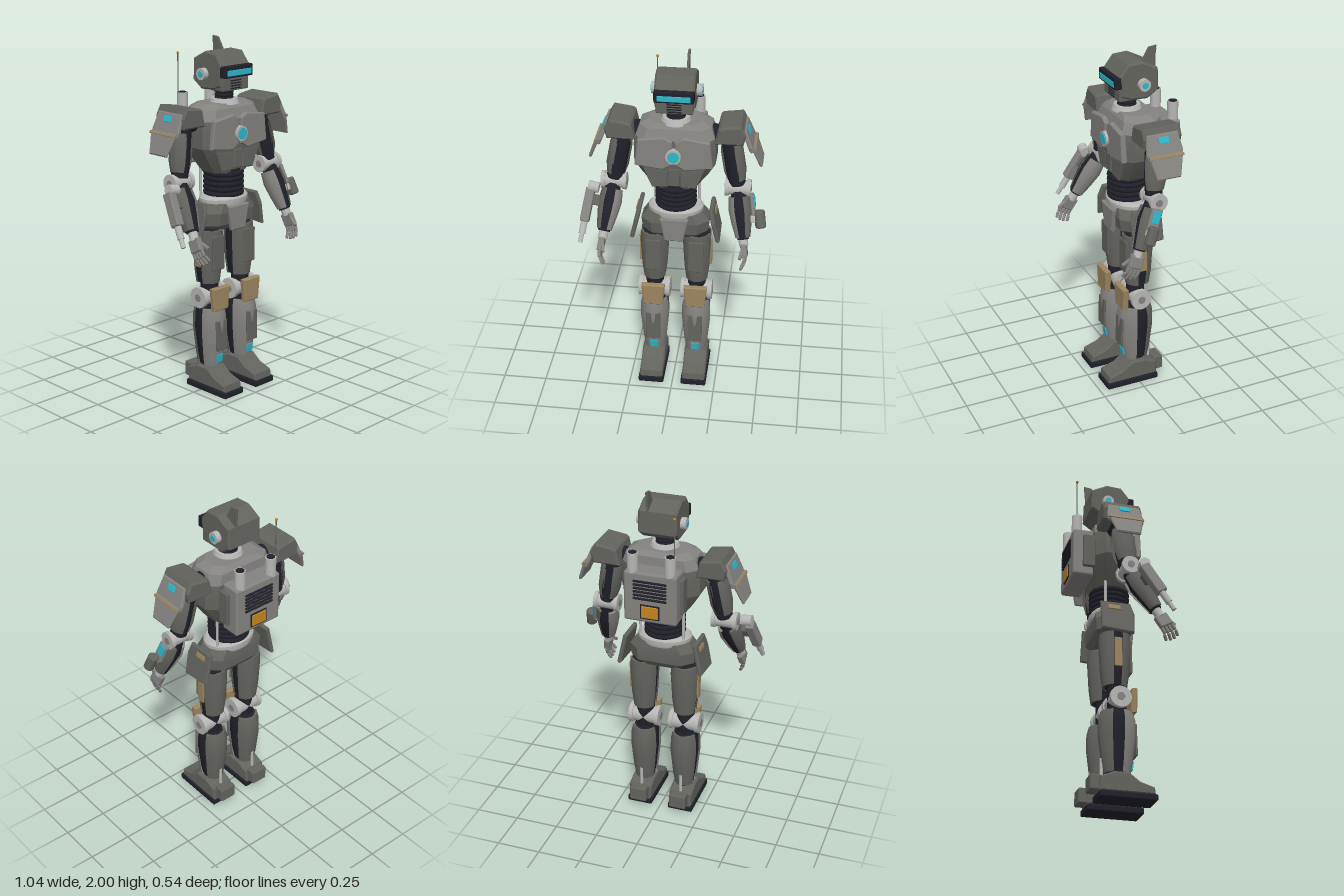
import * as THREE from 'three';
import { toCreasedNormals } from 'three/addons/utils/BufferGeometryUtils.js';
import { RoundedBoxGeometry } from 'three/addons/geometries/RoundedBoxGeometry.js';

const paint = (name, color, side = THREE.FrontSide) => new THREE.MeshStandardMaterial({ name, color, side });
const dark = paint('dark armour', 0x63635e, THREE.DoubleSide);
const mid = paint('mid armour', 0x858380, THREE.DoubleSide);
const light = paint('light metal', 0xb6b6b4);
const black = paint('black frame', 0x20202a);
const tan = paint('tan trim', 0x9c8660);
const cyan = paint('cyan glow', 0x2db8cc);
const orange = paint('orange panel', 0xc4851f);

function add(parent, name, geo, mat, x = 0, y = 0, z = 0, rx = 0, ry = 0, rz = 0) {
  const m = new THREE.Mesh(geo, mat);
  m.name = name;
  m.position.set(x, y, z);
  m.rotation.set(rx, ry, rz);
  parent.add(m);
  return m;
}
const box = (w, h, d, r = 0.008) => new RoundedBoxGeometry(w, h, d, 2, Math.min(r, w / 2.1, h / 2.1, d / 2.1));
const cyl = (r, h, r2 = r) => new THREE.CylinderGeometry(r, r2, h, 24);
const cylX = (r, h) => cyl(r, h).rotateZ(Math.PI / 2);
const cylZ = (r, h) => cyl(r, h).rotateX(Math.PI / 2);

// Flat outline in x,y given a thickness along z
function plate(pts, depth, bevel = 0.006) {
  const shape = new THREE.Shape(pts.map(p => new THREE.Vector2(p[0], p[1])));
  const g = new THREE.ExtrudeGeometry(shape, {
    depth: depth - 2 * bevel, bevelEnabled: true, bevelSize: bevel, bevelThickness: bevel, bevelOffset: -bevel, bevelSegments: 1,
  });
  return g.translate(0, 0, bevel - depth / 2);
}
// Outline in z,y given a thickness along x
const sidePlate = (pts, depth, bevel) => plate(pts, depth, bevel).rotateY(-Math.PI / 2);

// Curved armour shell around the y axis; profile of [radius, y]
function shell(profile, center, length, zScale = 1, thick = 0.014) {
  const pts = [...profile, ...profile.slice().reverse().map(p => [p[0] - thick, p[1]]), profile[0]]
    .map(p => new THREE.Vector2(p[0], p[1]));
  const g = new THREE.LatheGeometry(pts, 20, center - length / 2, length).scale(1, 1, zScale);
  return toCreasedNormals(g, 0.6);
}
function core(profile, zScale = 1) {
  const pts = [[0, profile[0][1]], ...profile, [0, profile.at(-1)[1]]].map(p => new THREE.Vector2(p[0], p[1]));
  return toCreasedNormals(new THREE.LatheGeometry(pts, 24).scale(1, 1, zScale), 0.6);
}

// Chamfered cross-sections [y, halfWidth, zFront, zBack, chamfer] joined from bottom to top
function loft(sections) {
  const pos = [], idx = [], n = 8;
  for (const [y, w, f, b, c] of sections) {
    for (const [x, z] of [[w - c, f], [w, f - c], [w, b + c], [w - c, b], [c - w, b], [-w, b + c], [-w, f - c], [c - w, f]]) pos.push(x, y, z);
  }
  const top = (sections.length - 1) * n;
  for (let s = 0; s < top; s += n) for (let i = 0; i < n; i++) {
    const j = (i + 1) % n;
    idx.push(s + i, s + j, s + n + j, s + i, s + n + j, s + n + i);
  }
  for (let i = 1; i < n - 1; i++) idx.push(0, i + 1, i, top, top + i, top + i + 1);
  const g = new THREE.BufferGeometry();
  g.setAttribute('position', new THREE.Float32BufferAttribute(pos, 3));
  g.setIndex(idx);
  return toCreasedNormals(g, 0.3);
}

// Group whose -y axis runs from a to b
function limb(parent, name, a, b) {
  const g = new THREE.Group(), from = new THREE.Vector3(...a), dir = new THREE.Vector3(...b).sub(from);
  g.name = name;
  g.position.copy(from);
  g.quaternion.setFromUnitVectors(new THREE.Vector3(0, -1, 0), dir.clone().normalize());
  g.userData.length = dir.length();
  parent.add(g);
  return g;
}

function group(parent, name) {
  const g = new THREE.Group();
  g.name = name;
  parent.add(g);
  return g;
}

function buildHead(root) {
  const g = group(root, 'head');
  add(g, 'skull', sidePlate([[0.075, 1.75], [0.09, 1.86], [0.035, 1.93], [-0.05, 1.935], [-0.14, 1.89], [-0.145, 1.77], [-0.08, 1.725], [0.02, 1.73]], 0.215, 0.01), dark);
  add(g, 'visorFrame', box(0.215, 0.066, 0.05), black, 0, 1.832, 0.088);
  add(g, 'visor', box(0.18, 0.032, 0.006), cyan, 0, 1.826, 0.114);
  add(g, 'jaw', box(0.2, 0.075, 0.1), dark, 0, 1.762, 0.035);
  for (let i = 0; i < 4; i++) add(g, 'mouthVent', box(0.08, 0.007, 0.008), black, 0, 1.738 + i * 0.014, 0.086);
  for (const s of [-1, 1]) {
    add(g, 'ear', cylX(0.033, 0.035), light, s * 0.12, 1.812, -0.05);
    add(g, 'earLight', cylX(0.017, 0.006), cyan, s * 0.139, 1.812, -0.05);
  }
  add(g, 'fin', sidePlate([[-0.055, 1.91], [-0.105, 1.995], [-0.15, 2], [-0.14, 1.88]], 0.012, 0.002), dark, 0.055);
  add(g, 'neckCore', cyl(0.04, 0.1), black, 0, 1.7, -0.005);
  for (let i = 0; i < 4; i++) add(g, 'neckRing', new THREE.TorusGeometry(0.043, 0.01, 8, 24), black, 0, 1.675 + i * 0.018, -0.005, Math.PI / 2);
  add(g, 'collar', cyl(0.072, 0.03, 0.085), light, 0, 1.66, -0.005);
}

function buildTorso(root) {
  const g = group(root, 'torso');
  add(g, 'ribcage', loft([[1.27, 0.12, 0.08, -0.1, 0.04], [1.36, 0.185, 0.1, -0.125, 0.05], [1.42, 0.222, 0.105, -0.135, 0.05], [1.53, 0.224, 0.105, -0.14, 0.05], [1.57, 0.215, 0.1, -0.14, 0.05]]), dark);
  add(g, 'shoulderYoke', loft([[1.57, 0.215, 0.1, -0.14, 0.05], [1.63, 0.195, 0.08, -0.135, 0.05], [1.655, 0.15, 0.06, -0.11, 0.05]]), mid);
  for (const s of [-1, 1]) {
    add(g, 'chestPlate', plate([[s * 0.008, 1.435], [s * 0.008, 1.575], [s * 0.05, 1.6], [s * 0.195, 1.58], [s * 0.212, 1.425], [s * 0.06, 1.405]], 0.032), mid, 0, 0, 0.106);
    add(g, 'abdomenPlate', plate([[s * 0.035, 1.29], [s * 0.035, 1.39], [s * 0.06, 1.395], [s * 0.17, 1.405], [s * 0.12, 1.285]], 0.025), dark, 0, 0, 0.092);
    add(g, 'waistRod', cyl(0.008, 0.18), light, s * 0.125, 1.2, -0.065);
  }
  add(g, 'abdomenCentre', box(0.065, 0.11, 0.025), dark, 0, 1.35, 0.095);
  add(g, 'coreRing', cylZ(0.042, 0.03), light, 0, 1.492, 0.122);
  add(g, 'coreLight', cylZ(0.032, 0.008), cyan, 0, 1.492, 0.137);
  add(g, 'waistCore', cyl(0.1, 0.17), black, 0, 1.2, -0.01);
  for (let i = 0; i < 5; i++) add(g, 'waistRing', new THREE.TorusGeometry(0.1, 0.016, 10, 32), black, 0, 1.143 + i * 0.029, -0.01, Math.PI / 2);

  const p = group(root, 'backpack');
  add(p, 'pack', box(0.3, 0.29, 0.12, 0.015), mid, 0, 1.445, -0.2);
  for (let i = 0; i < 6; i++) add(p, 'packVent', box(0.19, 0.012, 0.016), black, 0, 1.44 + i * 0.02, -0.262);
  add(p, 'servicePanelFrame', box(0.11, 0.085, 0.008), black, 0, 1.365, -0.261);
  add(p, 'servicePanel', box(0.095, 0.07, 0.009), orange, 0, 1.365, -0.265);
  for (const s of [-1, 1]) {
    add(p, 'sidePod', box(0.03, 0.2, 0.07), dark, s * 0.155, 1.45, -0.17);
    add(p, 'exhaust', cyl(0.03, 0.11), light, s * 0.105, 1.635, -0.23);
    add(p, 'exhaustMouth', cyl(0.023, 0.004), black, s * 0.105, 1.691, -0.23);
  }
  add(p, 'antenna', cyl(0.003, 0.33), dark, -0.13, 1.745, -0.238);
  add(p, 'antennaTip', new THREE.SphereGeometry(0.008, 12, 8), orange, -0.13, 1.91, -0.238);
}

function buildPelvis(root) {
  const g = group(root, 'pelvis');
  add(g, 'belt', core([[0.15, 1.08], [0.155, 1.09], [0.155, 1.12], [0.14, 1.135]], 0.75), light, 0, 0, -0.01);
  add(g, 'hips', loft([[0.945, 0.12, 0.06, -0.09, 0.05], [0.98, 0.185, 0.09, -0.115, 0.06], [1.05, 0.19, 0.1, -0.12, 0.06], [1.1, 0.155, 0.09, -0.11, 0.06]]), dark);
  add(g, 'frontPlate', plate([[-0.08, 1.085], [0.08, 1.085], [0.052, 0.945], [-0.052, 0.945]], 0.03), mid, 0, 0, 0.1);
  for (const s of [-1, 1]) {
    const h = group(g, 'hipGuard');
    h.position.set(s * 0.222, 1.02, -0.02);
    h.rotation.z = s * 0.22;
    add(h, 'hipPlate', sidePlate([[-0.095, -0.085], [-0.095, 0.1], [0.075, 0.1], [0.095, 0.03], [0.085, -0.1]], 0.024), dark);
    add(h, 'hipStripe', box(0.008, 0.028, 0.07, 0.002), tan, s * 0.014, 0.06, -0.02);
  }
}

function buildLeg(root, s) {
  const g = group(root, s > 0 ? 'leftLeg' : 'rightLeg'), x = s * 0.122;
  const thigh = [[0.064, 0.64], [0.074, 0.72], [0.083, 0.88], [0.08, 0.95]];
  const shin = [[0.06, 0.15], [0.07, 0.21], [0.085, 0.36], [0.084, 0.45], [0.074, 0.495]];
  const inset = (p, d) => p.map(([r, y]) => [r - d, y]);
  add(g, 'thighFrame', core(inset(thigh, 0.009), 1.08), black, x, 0, -0.012);
  for (const c of [0, Math.PI]) add(g, 'thighShell', shell(thigh, c, 2.55, 1.08), dark, x, 0, -0.012);
  add(g, 'thighPanel', box(0.09, 0.2, 0.012), dark, x, 0.82, 0.072);
  add(g, 'thighStripe', box(0.012, 0.17, 0.045, 0.003), tan, x + s * 0.079, 0.825, -0.012);
  add(g, 'kneeFrame', cyl(0.052, 0.2), black, x, 0.57, 0);
  add(g, 'kneeJoint', cylX(0.052, 0.15), light, x, 0.56, 0);
  for (const t of [-1, 1]) {
    add(g, 'kneeDisc', cylX(0.06, 0.024), light, x + t * 0.078, 0.56, 0);
    add(g, 'kneeBolt', cylX(0.022, 0.008), mid, x + t * 0.09, 0.56, 0);
  }
  add(g, 'kneeCap', plate([[-0.068, 0.625], [0.068, 0.625], [0.055, 0.49], [-0.055, 0.49]], 0.035), tan, x, 0, 0.083);
  add(g, 'shinFrame', core(inset(shin, 0.01), 1.2), black, x);
  add(g, 'shinShell', shell(shin, 0, 2.7, 1.22), mid, x);
  add(g, 'calfShell', shell(shin, Math.PI, 2.3, 1.22), dark, x);
  add(g, 'shinPanel', box(0.085, 0.18, 0.012), dark, x, 0.34, 0.098, -0.03);
  add(g, 'shinLight', box(0.045, 0.05, 0.008, 0.002), cyan, x, 0.197, 0.082, 0.14);
  add(g, 'ankle', cyl(0.045, 0.1), black, x, 0.15, -0.01);
  add(g, 'heelRod', cyl(0.009, 0.14), light, x, 0.16, -0.085);
  add(g, 'sole', box(0.148, 0.036, 0.32), black, x + s * 0.003, 0.018, 0.045);
  add(g, 'foot', sidePlate([[0.195, 0.034], [0.19, 0.075], [0.11, 0.1], [0.05, 0.145], [-0.03, 0.145], [-0.105, 0.115], [-0.11, 0.034]], 0.135, 0.008), dark, x + s * 0.003);
  add(g, 'heel', box(0.1, 0.085, 0.06), dark, x, 0.085, -0.128);
}

function buildHand(arm, s, y) {
  const h = group(arm, 'hand');
  h.position.y = y;
  add(h, 'wrist', cyl(0.026, 0.05), light, 0, 0, 0);
  add(h, 'palm', box(0.034, 0.075, 0.078), mid, 0, -0.052, 0);
  for (let i = 0; i < 4; i++) {
    const z = (i - 1.5) * 0.021, len = i === 0 || i === 3 ? 0.037 : 0.043;
    add(h, 'finger', box(0.018, len, 0.017, 0.005), mid, -s * 0.003, -0.105, z * 1.05, 0, 0, -s * 0.2);
    add(h, 'fingertip', box(0.016, len, 0.015, 0.005), mid, -s * 0.02, -0.105 - len * 0.9, z * 1.2, 0, 0, -s * 0.6);
  }
  add(h, 'thumb', box(0.018, 0.055, 0.018, 0.005), mid, -s * 0.018, -0.07, 0.046, -0.6, 0, -s * 0.3);
}

function buildArm(root, s) {
  const g = group(root, s > 0 ? 'leftArm' : 'rightArm');
  // Shoulder armour
  add(g, 'shoulderJoint', cylX(0.055, 0.14), black, s * 0.26, 1.565, -0.03);
  add(g, 'shoulderPad', plate([[0.215, 1.55], [0.235, 1.64], [0.25, 1.65], [0.355, 1.665], [0.385, 1.61], [0.37, 1.55]].map(p => [p[0] * s, p[1]]), 0.22, 0.01), dark, 0, 0, -0.035);
  const guard = group(g, 'shoulderGuard');
  guard.position.set(s * 0.408, 1.54, -0.03);
  guard.rotation.z = s * 0.38;
  add(guard, 'upperGuard', sidePlate([[0.09, 0.1], [0.105, 0.0], [0.1, -0.03], [-0.1, -0.03], [-0.105, 0.0], [-0.09, 0.1]], 0.024), mid);
  add(guard, 'lowerGuard', sidePlate([[0.1, -0.01], [0.07, -0.14], [-0.065, -0.14], [-0.1, -0.01]], 0.018), mid, s * 0.012);
  add(guard, 'guardStripe', box(0.008, 0.016, 0.2, 0.002), tan, s * 0.022, -0.022, 0);
  add(guard, 'guardLight', box(0.008, 0.034, 0.058, 0.002), cyan, s * 0.014, 0.064, 0.0);

  // Upper arm and elbow
  const elbow = [s * 0.345, 1.255, 0];
  const u = limb(g, 'upperArm', [s * 0.29, 1.56, -0.03], elbow);
  add(u, 'upperArmFrame', core([[0.046, -0.29], [0.052, -0.2], [0.05, 0]]), black);
  const upper = [[0.05, -0.26], [0.062, -0.2], [0.062, -0.08], [0.055, -0.05]];
  add(u, 'outerShell', shell(upper, s * 1.57, 2.4, 1.1), dark);
  add(u, 'innerShell', shell(upper, -s * 1.9, 1.5, 1.1), dark);
  add(g, 'elbow', cylX(0.042, 0.12), light, ...elbow);
  for (const t of [-1, 1]) {
    add(g, 'elbowDisc', cylX(0.05, 0.022), light, elbow[0] + t * 0.06, 1.255, 0);
    add(g, 'elbowBolt', cylX(0.02, 0.006), mid, elbow[0] + t * 0.072, 1.255, 0);
  }

  // Forearm
  const f = limb(g, 'forearm', elbow, s > 0 ? [0.39, 0.97, 0.11] : [-0.39, 0.985, 0.16]);
  const lower = [[0.042, -0.28], [0.056, -0.2], [0.066, -0.12], [0.058, -0.05]];
  add(f, 'forearmFrame', core([[0.034, -0.29], [0.046, -0.2], [0.055, -0.12], [0.04, -0.02]]), black);
  add(f, 'outerShell', shell(lower, s * 1.57, 2.3), dark);
  add(f, 'innerShell', shell(lower, -s * 1.57, 2.3), mid);
  buildHand(f, s, -f.userData.length + 0.005);
  if (s > 0) {
    // Wrist screen and canister
    add(f, 'screenPlate', box(0.02, 0.12, 0.065), mid, 0.072, -0.1, 0);
    add(f, 'screen', box(0.008, 0.07, 0.045, 0.002), cyan, 0.083, -0.085, 0);
    add(f, 'canisterMount', box(0.05, 0.04, 0.03), light, 0.075, -0.18, 0.01);
    add(f, 'canister', core([[0.024, -0.235], [0.03, -0.228], [0.03, -0.142], [0.024, -0.135]]), dark, 0.105, 0, 0.01);
  } else {
    // Forearm launcher
    add(f, 'launcherDrum', cylX(0.03, 0.06), light, -0.1, -0.06, 0.04);
    add(f, 'launcherMount', box(0.06, 0.06, 0.04), dark, -0.075, -0.13, 0.015);
    add(f, 'launcherBody', box(0.05, 0.19, 0.06), mid, -0.115, -0.165, 0.025);
    add(f, 'launcherBarrel', cyl(0.019, 0.08), light, -0.115, -0.29, 0.025);
    add(f, 'launcherMuzzle', cyl(0.013, 0.06), light, -0.115, -0.35, 0.025);
  }
}

export function createModel() {
  const root = new THREE.Group();
  root.name = 'robot';
  buildHead(root);
  buildTorso(root);
  buildPelvis(root);
  for (const s of [-1, 1]) {
    buildLeg(root, s);
    buildArm(root, s);
  }
  return root;
}
